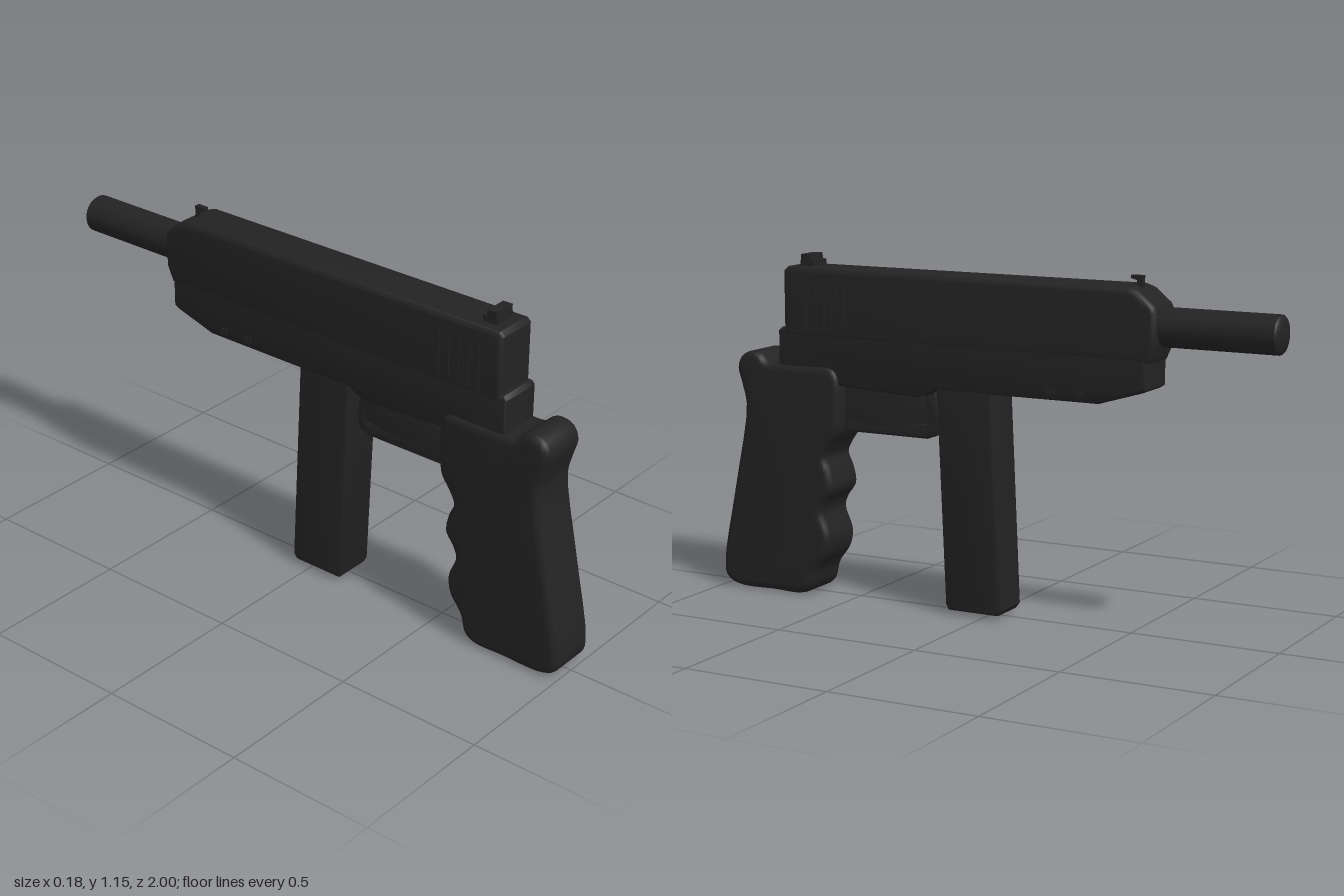
import * as THREE from 'three';
import { toCreasedNormals } from 'three/addons/utils/BufferGeometryUtils.js';

export function createModel() {
  const model = new THREE.Group();
  model.name = 'toyProp';
  const black = new THREE.MeshStandardMaterial({ color: 0x232323 });
  black.name = 'matte black';

  const add = (name, geometry) => {
    const mesh = new THREE.Mesh(geometry, black);
    mesh.name = name;
    model.add(mesh);
    return mesh;
  };
  const vec = ([z, y]) => new THREE.Vector2(z, y);

  // Side profile in (z, y), extruded across x with rounded edges
  const slab = (name, outline, width, bevel, hole) => {
    const shape = new THREE.Shape(outline);
    if (hole) shape.holes.push(new THREE.Path(hole));
    const g = new THREE.ExtrudeGeometry(shape, {
      depth: width - 2 * bevel, bevelEnabled: bevel > 0, bevelThickness: bevel,
      bevelSize: bevel, bevelOffset: -bevel, bevelSegments: 4, curveSegments: 8,
    });
    g.translate(0, 0, bevel - width / 2);
    g.rotateY(-Math.PI / 2);
    return add(name, toCreasedNormals(g, 0.7));
  };
  const box = (name, w, h, d, x, y, z) => {
    const g = new THREE.BoxGeometry(w, h, d);
    g.translate(x, y, z);
    return add(name, g);
  };

  // Upper slide with sloped nose
  slab('slide', [[0.745, 0.87], [0.745, 1.09], [0.73, 1.105], [-0.51, 1.105], [-0.54, 1.095],
    [-0.595, 1.05], [-0.605, 1.03], [-0.605, 0.925], [-0.58, 0.87]].map(vec), 0.158, 0.02);

  // Lower frame
  slab('frame', [[0.767, 0.72], [0.767, 0.89], [0.755, 0.902], [-0.575, 0.902], [-0.575, 0.79],
    [-0.56, 0.78], [-0.41, 0.735], [0.165, 0.735], [0.2, 0.715], [0.25, 0.705], [0.53, 0.72]].map(vec), 0.154, 0.012);

  // Grip with finger grooves and rear hump
  const gripPoints = [
    [0.87, 0.815], [0.91, 0.8], [0.93, 0.76], [0.915, 0.7], [0.9, 0.63], [0.95, 0.35], [1.0, 0.085],
    [0.992, 0.03], [0.945, 0.004], [0.8, 0.002], [0.68, 0.004], [0.645, 0.03], [0.627, 0.09],
    [0.585, 0.15], [0.575, 0.21], [0.602, 0.285], [0.592, 0.32], [0.56, 0.37], [0.57, 0.43],
    [0.588, 0.475], [0.57, 0.515], [0.537, 0.565], [0.53, 0.65], [0.532, 0.745], [0.555, 0.777],
    [0.65, 0.78], [0.76, 0.78], [0.81, 0.783], [0.84, 0.808],
  ].map(([z, y]) => new THREE.Vector3(z, y, 0));
  const grip = new THREE.CatmullRomCurve3(gripPoints, true).getPoints(110).slice(0, -1);
  slab('grip', grip.map((p) => new THREE.Vector2(p.x, p.y)), 0.18, 0.025);

  // Slanted magazine
  slab('magazine', [[0.168, 0.76], [0.135, 0.03], [0.125, 0.012], [-0.055, 0.012], [-0.069, 0.03],
    [-0.036, 0.76]].map(vec), 0.146, 0.012);

  // Trigger guard and trigger
  slab('triggerGuard', [[0.56, 0.74], [0.56, 0.565], [0.22, 0.565], [0.185, 0.58], [0.172, 0.62],
    [0.19, 0.74]].map(vec), 0.08, 0.008,
  [[0.52, 0.735], [0.235, 0.735], [0.215, 0.625], [0.225, 0.612], [0.52, 0.612]].map(vec));
  slab('trigger', [[0.405, 0.73], [0.402, 0.66], [0.395, 0.62], [0.375, 0.612], [0.358, 0.63],
    [0.35, 0.73]].map(vec), 0.045, 0.008);

  // Barrel with slightly domed muzzle
  const barrel = new THREE.LatheGeometry(
    [[0, 0.5], [0.062, 0.5], [0.062, 0.982], [0.057, 0.988], [0.042, 0.994], [0, 1]].map(vec), 32);
  barrel.rotateX(-Math.PI / 2);
  barrel.translate(0, 0.98, 0);
  add('barrel', toCreasedNormals(barrel, 0.5));

  // Sights
  box('rearSightBase', 0.08, 0.026, 0.05, 0, 1.112, 0.672);
  box('rearSightBlade', 0.08, 0.025, 0.034, 0, 1.132, 0.678);
  slab('frontSight', [[-0.49, 1.135], [-0.53, 1.135], [-0.53, 1.09], [-0.51, 1.09],
    [-0.51, 1.12], [-0.49, 1.125]].map(vec), 0.018, 0);

  // Side details: grip ribs, rail studs and the ejection cover
  for (const side of [-1, 1]) {
    for (let i = 0; i < 5; i++) box('slideRib', 0.006, 0.15, 0.018, side * 0.079, 0.975, 0.51 + i * 0.037);
    for (const z of [-0.25, -0.35]) box('railStud', 0.006, 0.02, 0.03, side * 0.078, 0.765, z);
  }
  box('ejectionCover', 0.008, 0.1, 0.235, 0.079, 1.015, 0.312);

  return model;
}
